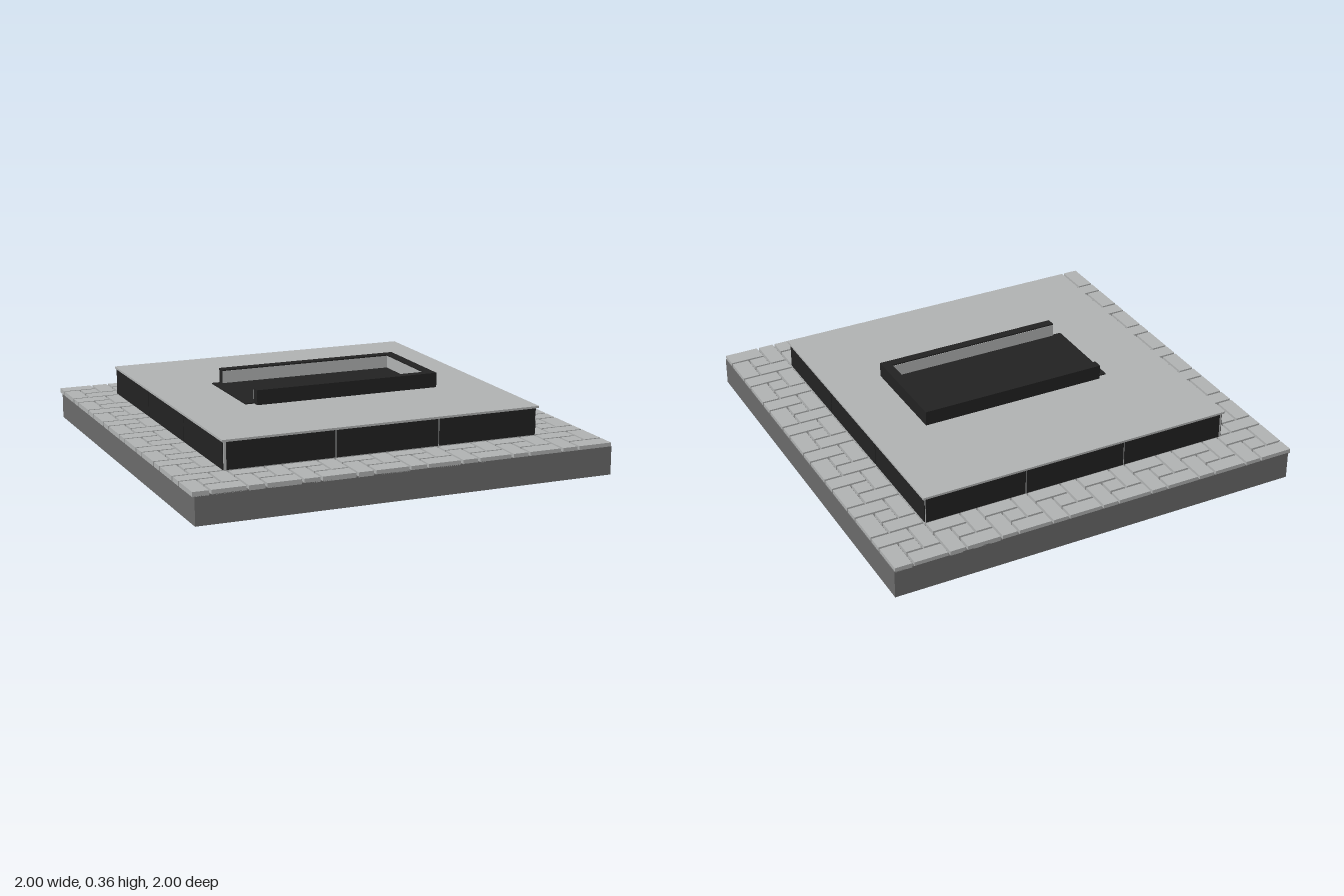
import * as THREE from 'three';
import { mergeGeometries } from 'three/addons/utils/BufferGeometryUtils.js';

const lightStone = new THREE.MeshStandardMaterial({ color: 0xb0b2b2 });
lightStone.name = 'lightStone';
const darkStone = new THREE.MeshStandardMaterial({ color: 0x6a6a6a });
darkStone.name = 'darkStone';
const blackStone = new THREE.MeshStandardMaterial({ color: 0x222222 });
blackStone.name = 'blackStone';

// Box geometry given by its lower and upper limits on each axis
function span(x0, x1, y0, y1, z0, z1) {
  return new THREE.BoxGeometry(x1 - x0, y1 - y0, z1 - z0)
    .translate((x0 + x1) / 2, (y0 + y1) / 2, (z0 + z1) / 2);
}

export function createModel() {
  const model = new THREE.Group();
  model.name = 'pavedPlinth';

  function add(name, material, ...geometries) {
    const mesh = new THREE.Mesh(mergeGeometries(geometries), material);
    mesh.name = name;
    model.add(mesh);
  }

  // Foundation under the paving
  add('foundation', darkStone, span(-0.99, 1, 0, 0.132, -1, 1));

  // Pavers: a pinwheel of four oblong stones around a square, on a 3 x 3 unit cell
  const unit = 0.25 / 3, gap = 0.011;
  const pinwheel = [[0, 0, 2, 1], [2, 0, 1, 2], [1, 2, 2, 1], [0, 1, 1, 2], [1, 1, 1, 1]];
  const pavers = [];
  for (let i = 0; i < 8; i++) {
    for (let j = 0; j < 8; j++) {
      for (const [cx, cz, w, d] of pinwheel) {
        const x0 = -1 + i * 0.25 + cx * unit;
        const z0 = -1 + j * 0.25 + cz * unit;
        const x1 = x0 + w * unit;
        const z1 = z0 + d * unit;
        pavers.push(span(
          x0, x1 > 0.99 ? 0.997 : x1 - gap, 0.128, 0.15,
          z0, z1 > 0.99 ? 1 : z1 - gap));
      }
    }
  }
  add('pavers', lightStone, ...pavers);

  // Raised core and its covering slab
  add('platformCore', lightStone, span(-0.772, 0.742, 0.14, 0.282, -0.763, 0.757));
  add('platformSlab', lightStone, span(-0.78, 0.755, 0.28, 0.29, -0.775, 0.765));

  // Three cladding panels on each side, with narrow joints between them
  const panels = [];
  const seam = 0.003, low = 0.155, high = 0.28;
  const edges = [-0.763, -0.25, 0.25, 0.742];
  for (let i = 0; i < 3; i++) {
    const a = edges[i] + seam, b = edges[i + 1] - seam;
    for (const z of [-0.763, 0.757]) panels.push(span(a, b, low, high, z - 0.004, z + 0.004));
    const c = i === 2 ? 0.752 : b;
    for (const x of [-0.772, 0.742]) panels.push(span(x - 0.004, x + 0.004, low, high, a, c));
  }
  add('claddingPanels', blackStone, ...panels);

  // Low kerb around three sides, open at one end, with a floor plate inside
  add('kerb', blackStone,
    span(-0.42, 0.49, 0.288, 0.36, -0.25, -0.205),
    span(-0.42, 0.49, 0.288, 0.36, 0.208, 0.25),
    span(0.445, 0.49, 0.288, 0.36, -0.205, 0.208));
  add('kerbFloor', blackStone, span(-0.465, 0.445, 0.288, 0.295, -0.23, 0.215));

  // Pale inner faces of the kerb
  add('kerbLining', lightStone,
    span(-0.42, 0.445, 0.295, 0.354, -0.206, -0.204),
    span(-0.42, 0.445, 0.295, 0.354, 0.207, 0.209).translate(0, 0, -0.001),
    span(0.444, 0.446, 0.295, 0.354, -0.205, 0.208));

  return model;
}
